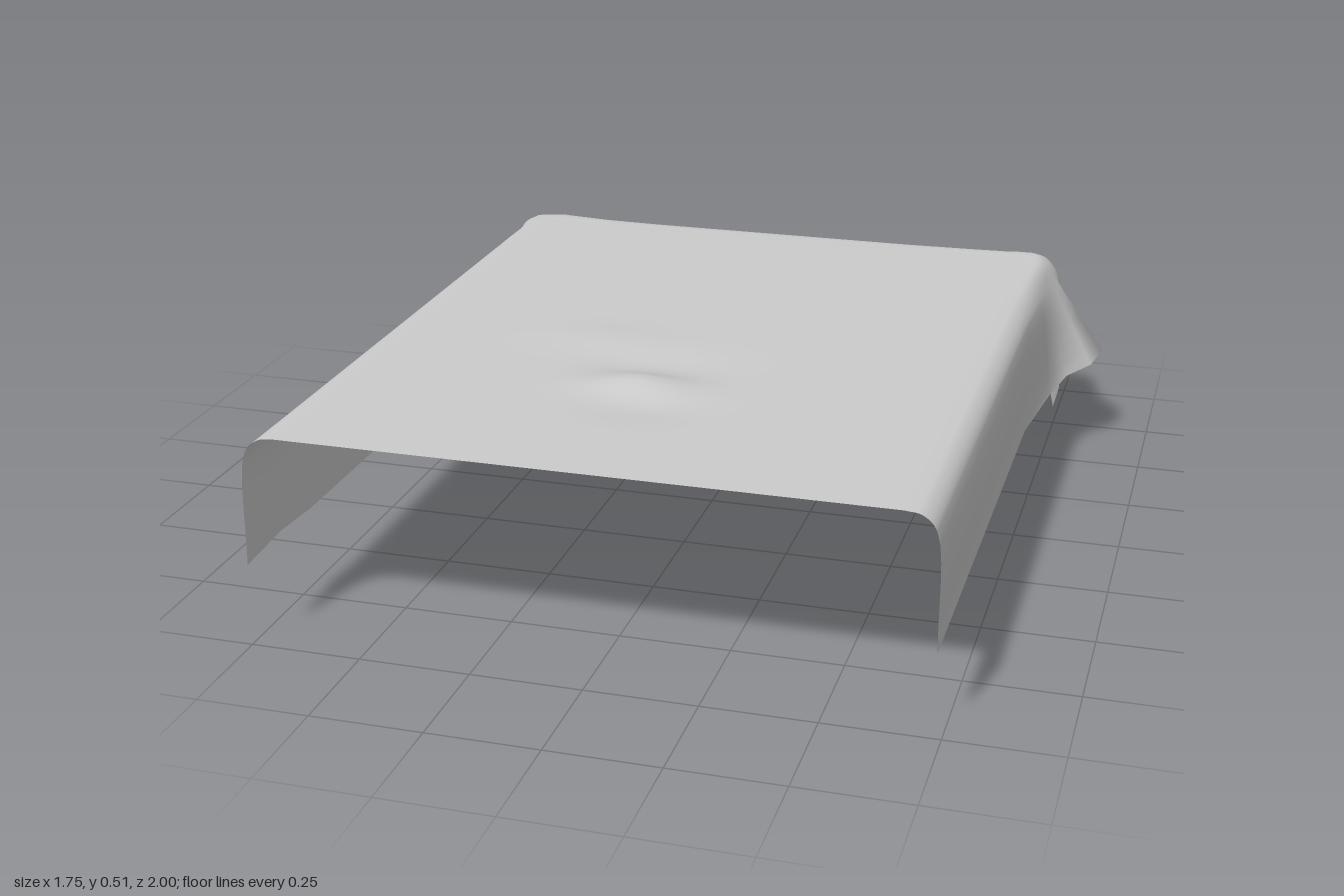
import * as THREE from 'three';

const TOP = 0.487;
const material = new THREE.MeshStandardMaterial({ color: 0xcccccc, side: THREE.DoubleSide });

// Each station of the skirt: rim x,z | shoulder x,y,z | hem x,y,z, running front to back.
const LEFT = [
  [.66, 1, .725, .45, 1, .735, .19, 1],
  [.66, -.2, .73, .45, -.2, .74, .19, -.2],
  [.66, -.4, .735, .44, -.42, .77, .2, -.43],
  [.66, -.5, .74, .43, -.52, .80, .22, -.53],
  [.66, -.57, .745, .43, -.6, .855, .235, -.59],
  [.66, -.6, .75, .43, -.65, .875, .25, -.665],
  [.66, -.61, .75, .42, -.69, .755, .18, -.69],
  [.66, -.62, .745, .42, -.73, .76, .1, -.76],
  [.66, -.64, .73, .42, -.77, .735, 0, -.87],
  [.64, -.64, .70, .42, -.80, .67, .18, -1],
  [.62, -.64, .65, .42, -.80, .61, .185, -.97],
  [.60, -.64, .62, .42, -.79, .6, .15, -.90],
  [.50, -.64, .50, .43, -.78, .5, .14, -.87],
  [.35, -.64, .35, .44, -.77, .35, .14, -.86],
];
const RIGHT = [
  [.66, 1, .73, .45, 1, .745, .19, 1],
  [.66, .82, .73, .45, .82, .755, .19, .82],
  [.66, .7, .73, .45, .7, .745, .19, .7],
  [.66, -.4, .73, .45, -.42, .745, .19, -.42],
  [.66, -.5, .735, .44, -.52, .775, .2, -.52],
  [.66, -.55, .735, .43, -.6, .76, .22, -.6],
  [.66, -.59, .74, .43, -.65, .81, .24, -.675],
  [.66, -.61, .75, .43, -.68, .88, .24, -.69],
  [.66, -.62, .75, .43, -.71, .88, .26, -.75],
  [.66, -.64, .73, .43, -.77, .77, .03, -.83],
  [.64, -.64, .68, .43, -.80, .66, .13, -.945],
  [.62, -.64, .63, .43, -.81, .57, .2, -.98],
  [.58, -.64, .59, .42, -.80, .57, .17, -.91],
  [.50, -.64, .50, .43, -.78, .5, .14, -.88],
  [.35, -.64, .35, .44, -.77, .35, .14, -.86],
];

// Rounded profile from the flat top, over the shoulder, down to the hem
function profile([rx, rz, sx, sy, sz, hx, hy, hz], side) {
  const point = (x, y, z) => new THREE.Vector3(x * side, y, z);
  return new THREE.CatmullRomCurve3([
    point(rx, TOP, rz),
    point(rx + (sx - rx) * 0.55, TOP - 0.006, rz + (sz - rz) * 0.55),
    point(sx, sy, sz),
    point(hx, hy, hz),
  ]).getPoints(18);
}

// Hanging skirt around three sides with flared corner folds
function makeSkirt() {
  const rows = [
    ...LEFT.map((s) => profile(s, 1)),
    ...RIGHT.map((s) => profile(s, -1)).reverse(),
  ];
  const n = rows[0].length, index = [];
  for (let i = 0; i < rows.length - 1; i++) {
    for (let j = 0; j < n - 1; j++) {
      const a = i * n + j, b = a + n;
      index.push(a, a + 1, b, a + 1, b + 1, b);
    }
  }
  const geometry = new THREE.BufferGeometry().setFromPoints(rows.flat());
  geometry.setIndex(index);
  geometry.computeVertexNormals();
  return geometry;
}

// Flat top with a few soft wrinkles
function makeTop() {
  const geometry = new THREE.PlaneGeometry(1.32, 1.64, 44, 54).rotateX(-Math.PI / 2).translate(0, TOP, 0.18);
  const bumps = [[-.03, .49, .024, .07], [-.03, .38, -.010, .10], [-.2, .22, .006, .09], [.02, .62, -.007, .08]];
  const p = geometry.attributes.position;
  for (let i = 0; i < p.count; i++) {
    let y = p.getY(i);
    for (const [x, z, h, r] of bumps) {
      const dx = (p.getX(i) - x) / (r * 1.5), dz = (p.getZ(i) - z) / r;
      y += h * Math.exp(-dx * dx - dz * dz);
    }
    p.setY(i, y);
  }
  geometry.computeVertexNormals();
  return geometry;
}

export function createModel() {
  const group = new THREE.Group();
  group.name = 'drapedCloth';
  for (const [name, geometry] of [['clothTop', makeTop()], ['clothSkirt', makeSkirt()]]) {
    const mesh = new THREE.Mesh(geometry, material);
    mesh.name = name;
    group.add(mesh);
  }
  return group;
}
